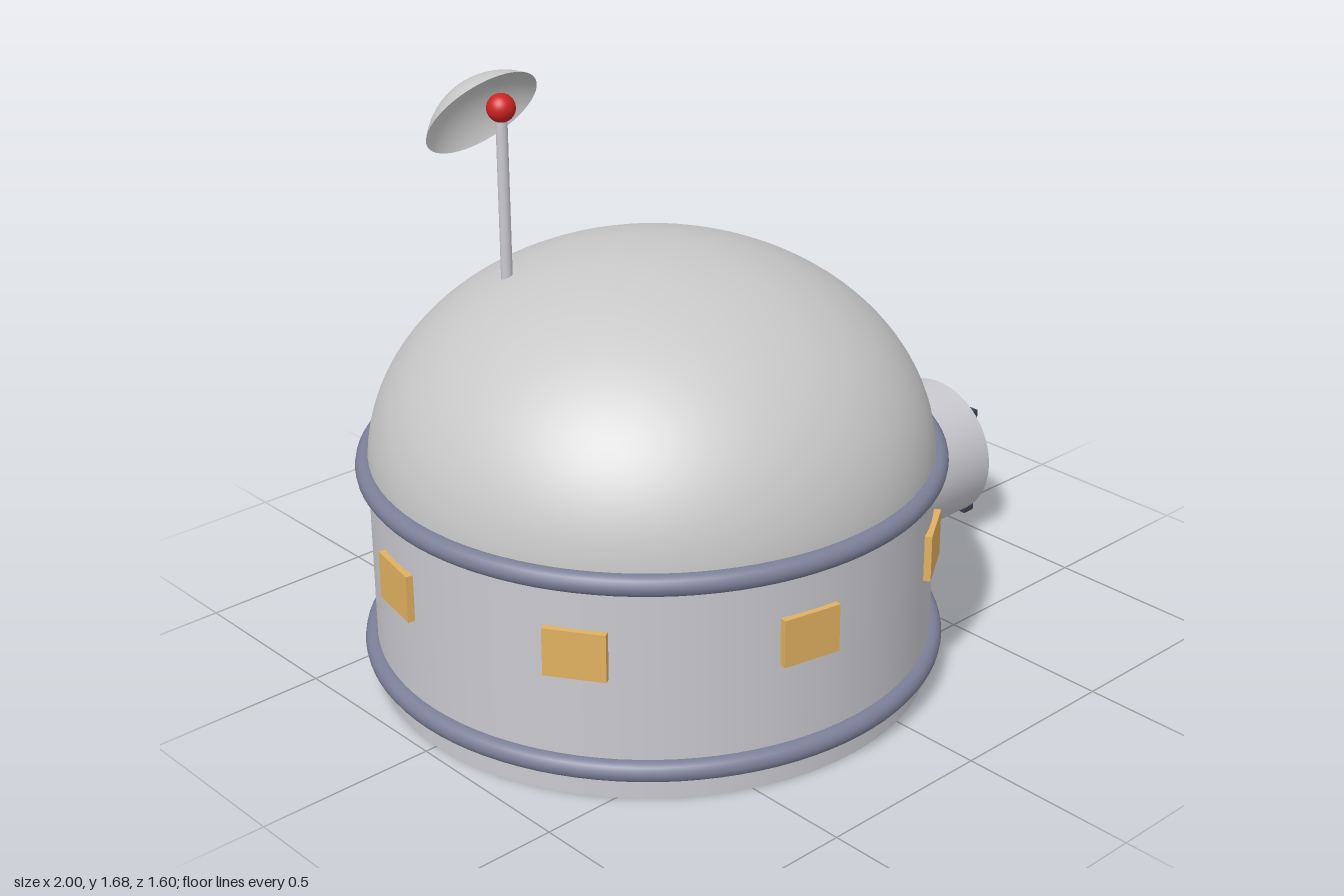
import * as THREE from 'three';

const mat = (name, color) => {
  const m = new THREE.MeshStandardMaterial({ color });
  m.name = name;
  return m;
};

export function createModel() {
  const shell = mat('shell grey', 0xc8c8c8);
  const wall = mat('wall grey', 0xc8c8ce);
  const dishGrey = mat('dish grey', 0xc8c8c8);
  dishGrey.side = THREE.DoubleSide;
  const trim = mat('ring blue grey', 0x7c8098);
  const gold = mat('window gold', 0xe0b060);
  const dark = mat('door navy', 0x3a4052);
  const red = mat('beacon red', 0xcc2222);

  const model = new THREE.Group();
  model.name = 'habitat';
  const add = (parent, name, geometry, material, x = 0, y = 0, z = 0) => {
    const mesh = new THREE.Mesh(geometry, material);
    mesh.name = name;
    mesh.position.set(x, y, z);
    parent.add(mesh);
    return mesh;
  };

  // Round body: drum, flattened dome and two trim rings
  const R = 0.766, baseY = 0.613;
  const body = new THREE.Group();
  body.name = 'body';
  body.position.x = -0.2;
  model.add(body);
  add(body, 'drum', new THREE.CylinderGeometry(R, R, baseY, 96), wall, 0, baseY / 2);
  const dome = new THREE.SphereGeometry(R, 96, 32, 0, Math.PI * 2, 0, Math.PI / 2);
  dome.scale(1, (1.198 - baseY) / R, 1);
  add(body, 'dome', dome, shell, 0, baseY);
  for (const [name, y] of [['lowerRing', 0.086], ['upperRing', baseY]]) {
    add(body, name, new THREE.TorusGeometry(0.771, 0.029, 16, 96), trim, 0, y).rotation.x = Math.PI / 2;
  }

  // Eight windows evenly spaced round the drum
  for (let i = 0; i < 8; i++) {
    const a = 0.2 + (i * Math.PI) / 4;
    const w = add(body, 'window' + (i + 1), new THREE.BoxGeometry(0.03, 0.133, 0.165), gold,
      Math.cos(a) * R, 0.41, Math.sin(a) * R);
    w.rotation.y = -a;
  }

  // Entrance tunnel with its door
  const tunnel = add(model, 'tunnel', new THREE.CylinderGeometry(0.213, 0.213, 0.52, 64), wall, 0.71, 0.243);
  tunnel.rotation.z = -Math.PI / 2;
  add(model, 'door', new THREE.BoxGeometry(0.04, 0.336, 0.266), dark, 0.98, 0.228);

  // Antenna: mast, beacon ball and tilted dish
  const antenna = new THREE.Group();
  antenna.name = 'antenna';
  antenna.position.set(-0.492, 0, -0.239);
  model.add(antenna);
  add(antenna, 'mast', new THREE.CylinderGeometry(0.0155, 0.0155, 0.5, 24), wall, 0, 1.33);
  add(antenna, 'beacon', new THREE.SphereGeometry(0.038, 32, 20), red, 0, 1.582);
  const dish = add(antenna, 'dish',
    new THREE.SphereGeometry(0.203, 48, 16, 0, Math.PI * 2, 0, 0.3 * Math.PI), dishGrey, 0, 1.474, 0.012);
  dish.rotation.x = -0.89;

  return model;
}
